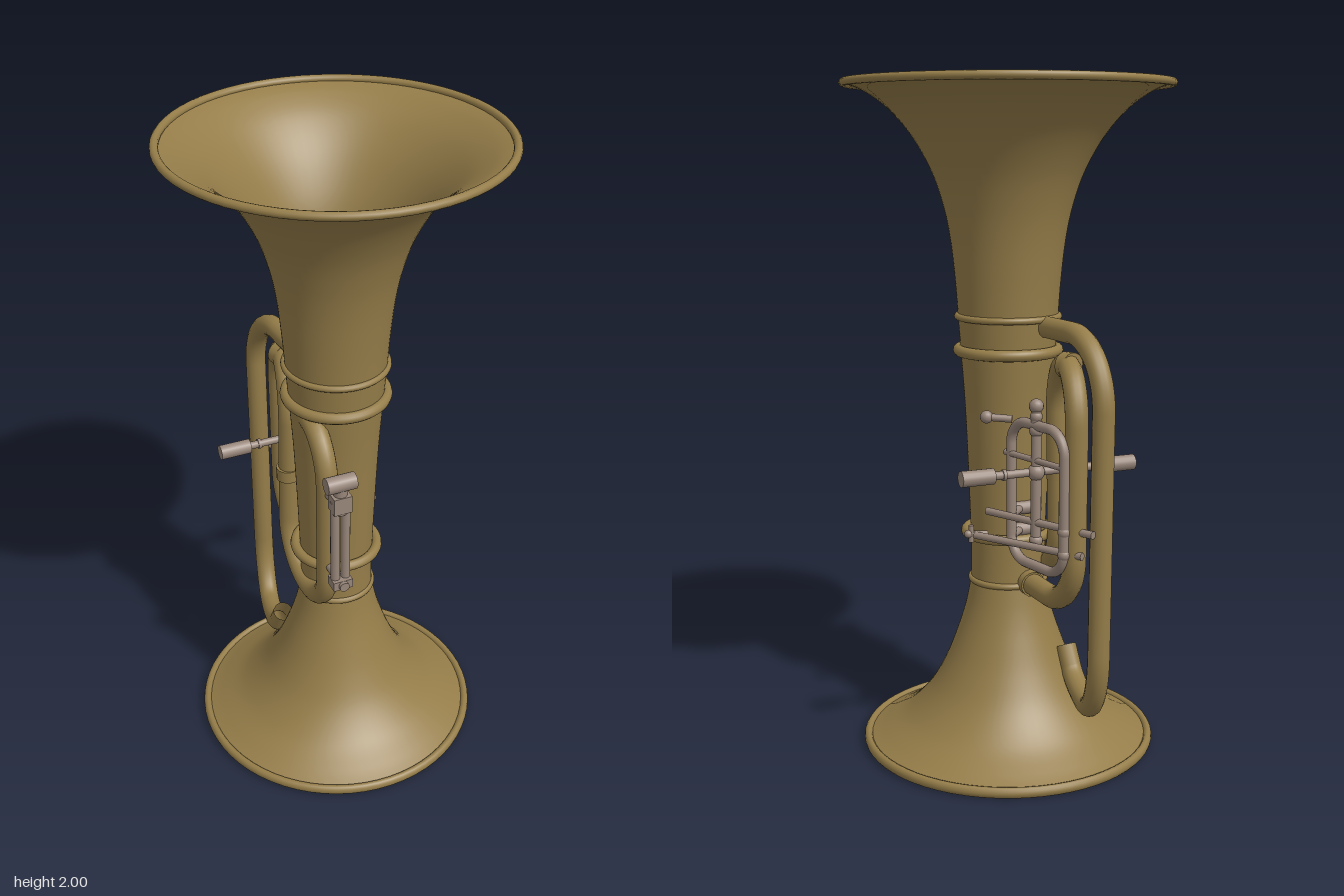
import * as THREE from 'three';

const brass = new THREE.MeshStandardMaterial({ color: 0x957d49, side: THREE.DoubleSide });
brass.name = 'brass';
const nickel = new THREE.MeshStandardMaterial({ color: 0x98867a });
nickel.name = 'nickel';

const V = (p) => new THREE.Vector3(...p);

function add(parent, name, geometry, material, pos = [0, 0, 0]) {
  const mesh = new THREE.Mesh(geometry, material);
  mesh.name = name;
  mesh.position.set(...pos);
  parent.add(mesh);
  return mesh;
}

// Surface of revolution through smooth profile points [radius, y]
function turned(parent, name, points) {
  const curve = new THREE.SplineCurve(points.map((p) => new THREE.Vector2(...p)));
  return add(parent, name, new THREE.LatheGeometry(curve.getPoints(48), 64), brass);
}

// Horizontal ring around the body
function ring(parent, name, y, radius, tube) {
  const g = new THREE.TorusGeometry(radius, tube, 12, 64).rotateX(Math.PI / 2);
  return add(parent, name, g, brass, [0, y, 0]);
}

// Straight rod between two points
function rod(parent, name, a, b, radius, material = nickel) {
  const from = V(a), to = V(b);
  const g = new THREE.CylinderGeometry(radius, radius, from.distanceTo(to), 16);
  const mesh = add(parent, name, g, material);
  mesh.position.copy(from).add(to).multiplyScalar(0.5);
  mesh.quaternion.setFromUnitVectors(new THREE.Vector3(0, 1, 0), to.sub(from).normalize());
  return mesh;
}

// Pipe along straight runs whose corners are rounded by bend
function pipe(parent, name, points, radius, bend, material, closed = false) {
  const pts = points.map(V), n = pts.length;
  const path = new THREE.CurvePath();
  let cursor = null, first = null;
  const lineTo = (p) => {
    if (cursor && cursor.distanceTo(p) > 1e-4) path.add(new THREE.LineCurve3(cursor, p));
    cursor = p;
    first = first || p;
  };
  pts.forEach((p, i) => {
    if (!closed && (i === 0 || i === n - 1)) return lineTo(p);
    const prev = pts[(i + n - 1) % n], next = pts[(i + 1) % n];
    const toward = (q) => {
      const d = p.distanceTo(q);
      return p.clone().lerp(q, Math.min(bend, d * 0.49) / d);
    };
    const a = toward(prev), b = toward(next);
    lineTo(a);
    // Cubic handles approximate a circular elbow
    path.add(new THREE.CubicBezierCurve3(a, a.clone().lerp(p, 0.55), b.clone().lerp(p, 0.55), b));
    cursor = b;
  });
  if (closed) lineTo(first);
  return add(parent, name, new THREE.TubeGeometry(path, 160, radius, 14, closed), material);
}

const ball = (parent, name, pos, r) => add(parent, name, new THREE.SphereGeometry(r, 16, 12), nickel, pos);

export function createModel() {
  const model = new THREE.Group();
  model.name = 'doubleBellHorn';

  // Body: two flared bells joined by a slightly tapered, open barrel
  const body = new THREE.Group();
  body.name = 'body';
  model.add(body);
  turned(body, 'upperBell', [[0.148, 1.32], [0.155, 1.42], [0.168, 1.54], [0.188, 1.64], [0.222, 1.74],
    [0.278, 1.84], [0.348, 1.92], [0.418, 1.968], [0.472, 1.988]]);
  turned(body, 'barrel', [[0.113, 0.52], [0.113, 0.65], [0.126, 1.0], [0.139, 1.2], [0.148, 1.32]]);
  turned(body, 'lowerBell', [[0.442, 0.016], [0.385, 0.045], [0.31, 0.095], [0.242, 0.17], [0.192, 0.26],
    [0.153, 0.36], [0.129, 0.44], [0.113, 0.52]]);
  ring(body, 'upperRim', 1.988, 0.47, 0.012);
  ring(body, 'lowerRim', 0.018, 0.435, 0.013).scale.y = 1.25;
  ring(body, 'upperJointRing', 1.322, 0.15, 0.01);
  ring(body, 'upperCollar', 1.222, 0.147, 0.017);
  ring(body, 'lowerCollar', 0.668, 0.127, 0.016);
  ring(body, 'lowerJointRing', 0.52, 0.112, 0.01);

  // Long outer pipe at the back, hooking into the lower bell
  const tubing = new THREE.Group();
  tubing.name = 'tubing';
  model.add(tubing);
  pipe(tubing, 'outerPipe', [[-0.06, 1.3, -0.09], [-0.085, 1.3, -0.453], [-0.085, 0.205, -0.437],
    [-0.14, 0.205, -0.19], [-0.135, 0.32, -0.13]], 0.032, 0.2, brass);

  // Inner pipe: rises at the back, arches over, then loops along the right side
  pipe(tubing, 'innerPipe', [[-0.02, 0.53, -0.09], [-0.025, 0.53, -0.4], [-0.03, 1.21, -0.4],
    [-0.09, 1.21, -0.145], [-0.102, 0.545, -0.145], [-0.102, 0.545, 0.172],
    [-0.102, 1.18, 0.172], [-0.102, 1.18, -0.09]], 0.033, 0.155, brass);
  rod(tubing, 'archFerrule', [-0.056, 1.21, -0.267], [-0.065, 1.21, -0.3], 0.038, brass);
  rod(tubing, 'sideFerrule', [-0.1, 0.85, -0.145], [-0.1, 0.89, -0.145], 0.037, brass);
  rod(tubing, 'lowerFerrule', [-0.02, 0.53, -0.105], [-0.02, 0.53, -0.14], 0.038, brass);

  // Valve work: rounded slide frame with cross rods
  const valves = new THREE.Group();
  valves.name = 'valveWork';
  model.add(valves);
  pipe(valves, 'slideFrame', [[0.06, 0.635, -0.16], [0.01, 0.635, -0.405], [0.01, 1.045, -0.405],
    [0.06, 1.045, -0.16]], 0.015, 0.07, nickel, true);
  rod(valves, 'middleRod', [0.07, 0.945, -0.14], [0.01, 0.945, -0.4], 0.009);
  rod(valves, 'upperBrace', [0.115, 0.765, -0.11], [-0.05, 0.765, -0.465], 0.011);
  rod(valves, 'lowerBrace', [0.16, 0.7, -0.12], [-0.03, 0.7, -0.44], 0.011);
  rod(valves, 'valveStem', [0.035, 0.7, -0.275], [0.035, 1.1, -0.275], 0.015);
  [[0.71, 0.02], [0.91, 0.025], [1.03, 0.02], [1.07, 0.018], [1.1, 0.021]].forEach(([y, r]) =>
    ball(valves, 'stemKnob', [0.035, y, -0.275], r));
  for (const y of [0.7, 0.765]) {
    ball(valves, 'frameKnob', [0.01, y, -0.405], 0.018);
    // Mounts against the back of the barrel
    rod(valves, 'mountBar', [-0.05, y, -0.115], [0.03, y, -0.115], 0.02);
    rod(valves, 'mountArm', [0.01, y, -0.115], [0.058, y, -0.165], 0.012);
  }
  ball(valves, 'leverTip', [0.125, 1.05, -0.13], 0.019);
  rod(valves, 'leverArm', [0.125, 1.05, -0.13], [0.06, 1.045, -0.165], 0.011);
  // Small finial beside the lower collar
  rod(valves, 'finialStem', [0.12, 0.7, -0.12], [0.185, 0.705, -0.12], 0.009);
  rod(valves, 'finialCross', [0.17, 0.68, -0.12], [0.17, 0.73, -0.12], 0.008);
  ball(valves, 'finialTip', [0.18, 0.705, -0.12], 0.012);

  // Cross handle with a grip at each end
  const handle = new THREE.Group();
  handle.name = 'crossHandle';
  handle.position.set(-0.008, 0.91, -0.27);
  valves.add(handle);
  rod(handle, 'handleBar', [-0.2, 0, 0], [0.2, 0, 0], 0.012);
  for (const s of [-1, 1]) {
    rod(handle, 'handleGrip', [s * 0.172, 0, 0], [s * 0.27, 0, 0], 0.023);
    rod(handle, 'handleCollar', [s * 0.135, 0, 0], [s * 0.145, 0, 0], 0.016);
  }

  // Front bracket standing off the side loop
  const bracket = new THREE.Group();
  bracket.name = 'frontBracket';
  bracket.position.set(-0.103, 0, 0);
  model.add(bracket);
  for (const x of [-0.016, 0.016]) rod(bracket, 'bracketRail', [x, 0.74, 0.27], [x, 1.04, 0.27], 0.014);
  rod(bracket, 'bracketRoller', [-0.044, 1.1, 0.27], [0.044, 1.1, 0.27], 0.025);
  rod(bracket, 'rollerPost', [0, 1.0, 0.27], [0, 1.1, 0.27], 0.02);
  add(bracket, 'upperBlock', new THREE.BoxGeometry(0.055, 0.055, 0.045), nickel, [0, 1.035, 0.27]);
  add(bracket, 'lowerBlock', new THREE.BoxGeometry(0.06, 0.03, 0.045), nickel, [0, 0.75, 0.272]);
  rod(bracket, 'upperArm', [0, 1.03, 0.27], [0, 1.01, 0.18], 0.017);
  rod(bracket, 'lowerArm', [0, 0.75, 0.305], [0, 0.75, 0.18], 0.015);
  return model;
}
